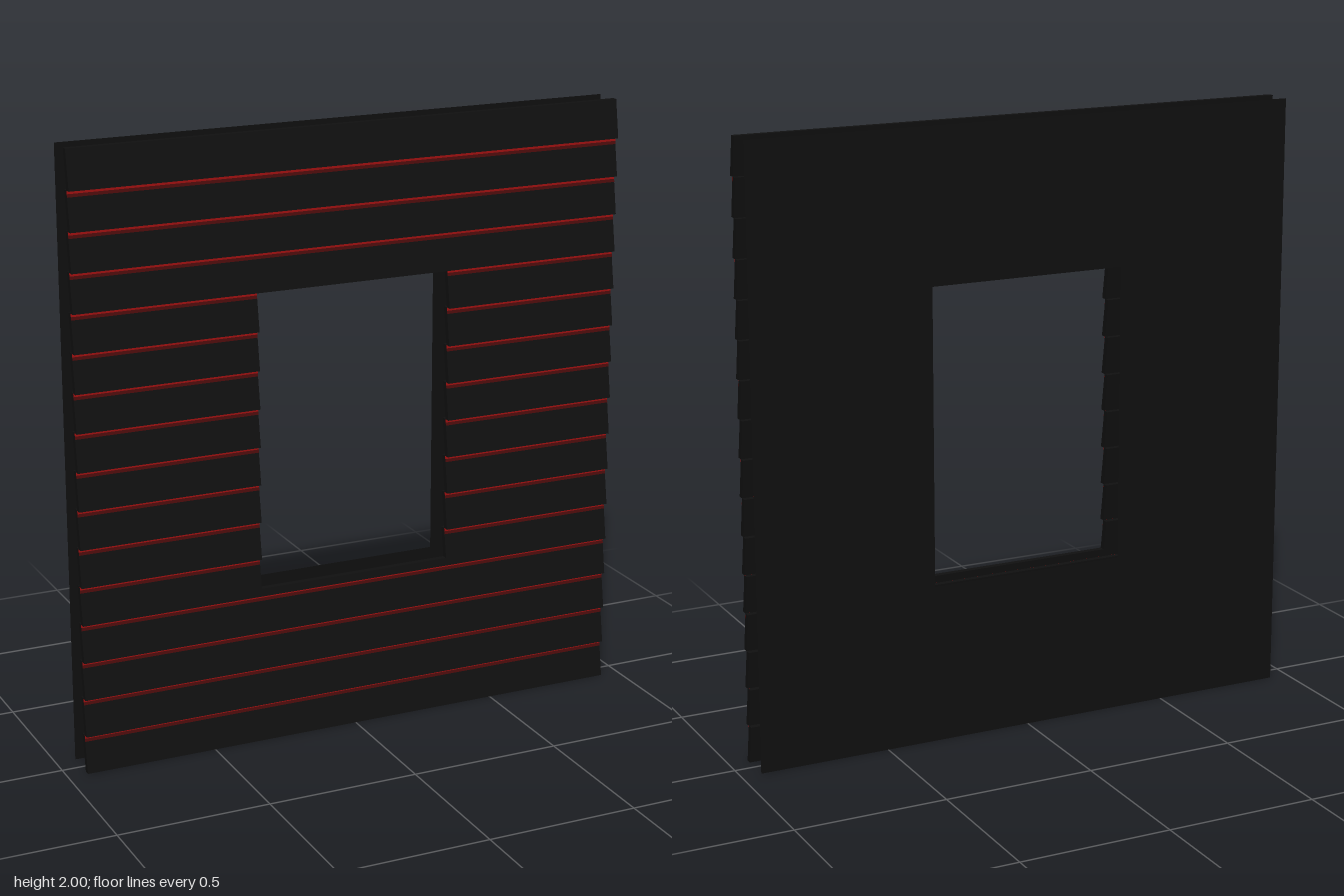
import * as THREE from 'three';

const HALF_W = 0.935, HEIGHT = 2, ROWS = 16, ROW_H = HEIGHT / ROWS;
const OPEN_X = 0.33, OPEN_Y0 = 0.525, OPEN_Y1 = 1.5;
const BACK_Z = -0.06, THICK = 0.02;

const material = (color) => new THREE.MeshStandardMaterial({ color, flatShading: true, side: THREE.DoubleSide });

// Leaning board: its front slopes from z 0.06 at the row's foot to 0.04 at its top
function board(x0, x1, rowBase, y0, y1, thick, lift = 0) {
  const front = (y) => 0.06 - THICK * (y - rowBase) / ROW_H + lift;
  const shape = new THREE.Shape([
    new THREE.Vector2(-front(y0), y0),
    new THREE.Vector2(-front(y0) + thick, y0),
    new THREE.Vector2(-front(y1) + thick, y1),
    new THREE.Vector2(-front(y1), y1),
  ]);
  const geo = new THREE.ExtrudeGeometry(shape, { depth: x1 - x0, bevelEnabled: false });
  return geo.rotateY(Math.PI / 2).translate(x0, 0, 0);
}

export function createModel() {
  const model = new THREE.Group();
  model.name = 'sidingWall';
  const dark = material(0x101010);
  const red = material(0x980f0f);
  const deepRed = material(0x4c0c0c);

  const add = (name, geo, mat, parent) => {
    const mesh = new THREE.Mesh(geo, mat);
    mesh.name = name;
    parent.add(mesh);
  };

  // Flat inner sheet with the window opening
  const sheet = new THREE.Shape([
    new THREE.Vector2(-HALF_W, 0), new THREE.Vector2(HALF_W, 0),
    new THREE.Vector2(HALF_W, HEIGHT), new THREE.Vector2(-HALF_W, HEIGHT),
  ]);
  sheet.holes.push(new THREE.Path([
    new THREE.Vector2(-OPEN_X, OPEN_Y0), new THREE.Vector2(-OPEN_X, OPEN_Y1),
    new THREE.Vector2(OPEN_X, OPEN_Y1), new THREE.Vector2(OPEN_X, OPEN_Y0),
  ]));
  add('innerSheet', new THREE.ShapeGeometry(sheet).translate(0, 0, BACK_Z), dark, model);

  // Lapped siding, split on both sides of the opening
  for (let i = 0; i < ROWS; i++) {
    const base = i * ROW_H, top = base + ROW_H;
    const row = new THREE.Group();
    row.name = 'sidingRow' + (i + 1);
    model.add(row);

    const split = top > OPEN_Y0 && base < OPEN_Y1;
    const spans = split ? [[-HALF_W, -OPEN_X], [OPEN_X, HALF_W]] : [[-HALF_W, HALF_W]];
    for (const [x0, x1] of spans) {
      add('plank', board(x0, x1, base, base, top, THICK), dark, row);
      // Red band fading downward beneath the lip of the next plank
      if (i < ROWS - 1) {
        add('redBand', board(x0, x1, base, top - 0.011, top, 0.001, 0.0008), red, row);
        add('redBandFade', board(x0, x1, base, top - 0.021, top - 0.011, 0.001, 0.0008), deepRed, row);
      }
    }
    // Cut foot of the plank that forms the sill
    if (split && base < OPEN_Y0) {
      add('sillPlank', board(-OPEN_X, OPEN_X, base, base, OPEN_Y0, THICK), dark, row);
    }
  }
  return model;
}
